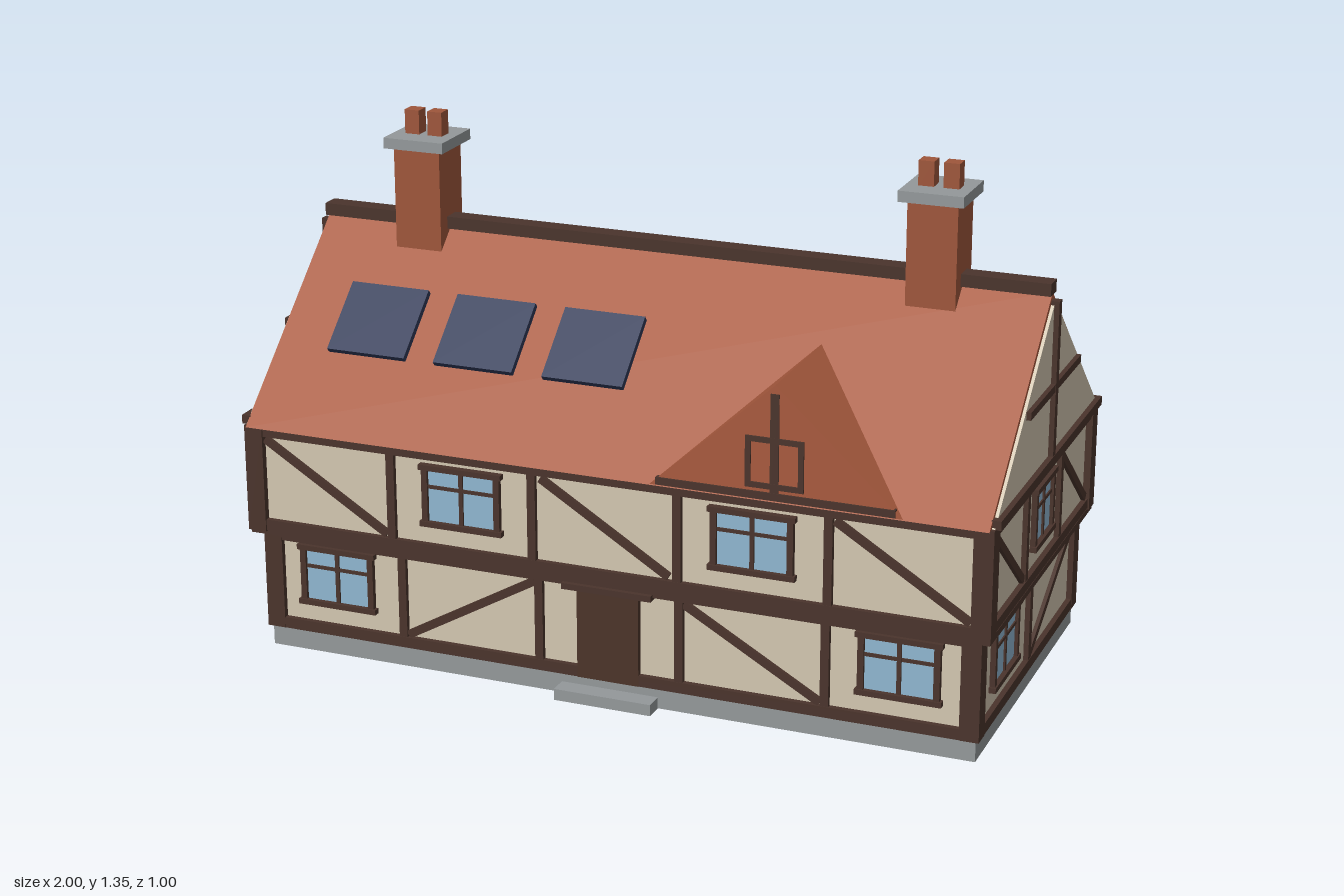
import * as THREE from 'three';

const mat = (name, color) => {
  const m = new THREE.MeshStandardMaterial({ color });
  m.name = name;
  return m;
};

export function createModel() {
  const M = {
    roof: mat('clayTile', 0xa85a3e),
    brick: mat('brick', 0x9e563b),
    timber: mat('darkTimber', 0x4a342c),
    plaster: mat('creamPlaster', 0xd2c6b0),
    stone: mat('greyStone', 0x93989a),
    glass: mat('paleGlass', 0x8fb6d0),
    panel: mat('navyPanel', 0x2e3857),
    door: mat('doorWood', 0x4b3429),
  };
  const house = new THREE.Group();
  house.name = 'timberFramedHouse';

  const add = (parent, name, geo, material) => {
    const m = new THREE.Mesh(geo, material);
    m.name = name;
    parent.add(m);
    return m;
  };
  // Box given by its limits on each axis
  const box = (parent, name, material, x0, x1, y0, y1, z0, z1) => {
    const m = add(parent, name, new THREE.BoxGeometry(x1 - x0, y1 - y0, z1 - z0), material);
    m.position.set((x0 + x1) / 2, (y0 + y1) / 2, (z0 + z1) / 2);
    return m;
  };
  // Faceted solid from triangles of corner points
  const facets = (parent, name, material, tris) => {
    const g = new THREE.BufferGeometry();
    g.setAttribute('position', new THREE.Float32BufferAttribute(tris.flat(2), 3));
    g.computeVertexNormals();
    return add(parent, name, g, material);
  };
  // Triangular prism along x
  const prism = (parent, name, material, halfZ, y0, y1, x0, x1) => {
    const s = new THREE.Shape([[-halfZ, y0], [halfZ, y0], [0, y1]].map((p) => new THREE.Vector2(...p)));
    const g = new THREE.ExtrudeGeometry(s, { depth: x1 - x0, bevelEnabled: false });
    g.rotateY(Math.PI / 2);
    g.translate(x0, 0, 0);
    return add(parent, name, g, material);
  };

  // A wall face: u runs along x (long walls) or z (end walls), d is the distance of the plaster
  const face = (name, axis, sign, d) => {
    const g = new THREE.Group();
    g.name = name;
    house.add(g);
    const bar = (part, material, u, y, w, h, out, angle = 0) => {
      const t = out + 0.01;
      const m = add(g, part, axis === 'x' ? new THREE.BoxGeometry(w, h, t) : new THREE.BoxGeometry(t, h, w), material);
      const p = sign * (d + out - t / 2);
      if (axis === 'x') { m.position.set(u, y, p); m.rotation.z = angle; }
      else { m.position.set(p, y, u); m.rotation.x = -angle; }
    };
    return {
      bar,
      post: (u, y0, y1, w = 0.022) => bar('post', M.timber, u, (y0 + y1) / 2, w, y1 - y0, 0.013),
      beam: (u0, u1, y0, y1, out = 0.014) => bar('beam', M.timber, (u0 + u1) / 2, (y0 + y1) / 2, u1 - u0, y1 - y0, out),
      brace: (u0, y0, u1, y1) => bar('brace', M.timber, (u0 + u1) / 2, (y0 + y1) / 2,
        Math.hypot(u1 - u0, y1 - y0), 0.021, 0.01, Math.atan2(y1 - y0, u1 - u0)),
      window: (u, y0, w) => {
        const h = 0.165, y = y0 + h / 2;
        bar('windowGlass', M.glass, u, y, w - 0.02, h - 0.01, 0.005);
        for (const s of [-1, 1]) {
          bar('windowJamb', M.timber, u + s * (w / 2 - 0.014), y, 0.016, h, 0.014);
          bar('windowRail', M.timber, u, y + s * (h / 2 - 0.007), w, 0.014, 0.018);
        }
        bar('mullion', M.timber, u, y, 0.011, h, 0.01);
        bar('transom', M.timber, u, y0 + h * 0.64, w - 0.02, 0.009, 0.009);
      },
    };
  };

  // Stone base, doorstep and plaster storeys
  box(house, 'foundation', M.stone, -0.95, 0.95, 0, 0.057, -0.45, 0.45);
  box(house, 'doorstep', M.stone, -0.13, 0.13, 0, 0.03, 0.44, 0.5);
  box(house, 'groundFloorWalls', M.plaster, -0.945, 0.945, 0.055, 0.325, -0.445, 0.445);
  box(house, 'upperFloorWalls', M.plaster, -0.97, 0.97, 0.335, 0.615, -0.47, 0.47);
  box(house, 'jettyFloor', M.timber, -0.985, 0.985, 0.32, 0.336, -0.48, 0.48);

  // Corner posts of both storeys
  for (const sx of [-1, 1]) for (const sz of [-1, 1]) {
    const low = add(house, 'lowerCornerPost', new THREE.BoxGeometry(0.05, 0.265, 0.05), M.timber);
    low.position.set(sx * 0.935, 0.1875, sz * 0.435);
    const up = add(house, 'upperCornerPost', new THREE.BoxGeometry(0.05, 0.285, 0.05), M.timber);
    up.position.set(sx * 0.963, 0.4725, sz * 0.463);
  }

  // Long walls, front and back
  for (const s of [1, -1]) {
    const side = s > 0 ? 'front' : 'back';
    const low = face(side + 'LowerFrame', 'x', s, 0.445);
    low.beam(-0.94, 0.94, 0.055, 0.084);
    low.beam(-0.94, 0.94, 0.3, 0.322);
    for (const m of [-1, 1]) {
      low.post(m * 0.188, 0.08, 0.31);
      low.post(m * 0.568, 0.08, 0.31);
      low.brace(m * 0.2, 0.293, m * 0.555, 0.09);
      low.window(m * 0.755, 0.132, 0.22);
    }
    if (s > 0) {
      low.bar('door', M.door, 0, 0.177, 0.165, 0.244, 0.016);
      low.bar('doorLintel', M.timber, 0, 0.3, 0.24, 0.016, 0.026);
    } else low.window(0, 0.132, 0.22);

    const up = face(side + 'UpperFrame', 'x', s, 0.47);
    up.beam(-0.96, 0.96, 0.333, 0.362);
    up.beam(-0.96, 0.96, 0.588, 0.615);
    for (const m of [-1, 1]) {
      up.post(m * 0.193, 0.35, 0.6);
      up.post(m * 0.58, 0.35, 0.6);
      up.window(m * 0.386, 0.41, 0.225);
    }
    for (const u of [-0.765, 0, 0.765]) up.brace(u - 0.17, 0.58, u + 0.17, 0.37);
  }

  // End walls and gables
  for (const s of [1, -1]) {
    const side = s > 0 ? 'left' : 'right';
    const low = face(side + 'LowerFrame', 'z', s, 0.945);
    low.beam(-0.44, 0.44, 0.055, 0.084);
    low.beam(-0.44, 0.44, 0.302, 0.322);
    low.post(0, 0.08, 0.31, 0.025);
    low.window(0.218, 0.13, 0.228);
    low.brace(-0.02, 0.09, -0.41, 0.295);

    const up = face(side + 'UpperFrame', 'z', s, 0.97);
    up.beam(-0.46, 0.46, 0.333, 0.362);
    up.beam(-0.46, 0.46, 0.585, 0.615);
    for (const m of [-1, 1]) up.post(m * 0.157, 0.35, 0.6, 0.022);
    up.window(0, 0.41, 0.188);
    up.brace(0.43, 0.578, 0.17, 0.368);
    up.brace(-0.17, 0.578, -0.43, 0.368);

    prism(house, side + 'GablePlaster', M.plaster, 0.478, 0.615, 1.034, s > 0 ? 0.97 : -0.986, s > 0 ? 0.986 : -0.97);
    const top = face(side + 'GableFrame', 'z', s, 0.986);
    top.beam(-0.475, 0.475, 0.613, 0.636);
    top.beam(-0.235, 0.235, 0.804, 0.824, 0.012);
    top.post(0, 0.63, 1.034, 0.024);
  }

  // Main roof and ridge beam
  prism(house, 'mainRoof', M.roof, 0.498, 0.613, 1.053, -0.978, 0.978);
  box(house, 'ridgeBeam', M.timber, -0.98, 0.98, 1.048, 1.08, -0.025, 0.025);

  // Chimneys with stone caps and paired pots
  for (const x of [-0.69, 0.69]) {
    const c = new THREE.Group();
    c.name = 'chimney';
    c.position.x = x;
    house.add(c);
    box(c, 'chimneyStack', M.brick, -0.064, 0.064, 0.95, 1.265, -0.064, 0.064);
    box(c, 'chimneyCap', M.stone, -0.083, 0.083, 1.262, 1.29, -0.084, 0.084);
    for (const m of [-1, 1]) box(c, 'chimneyPot', M.brick, m * 0.032 - 0.02, m * 0.032 + 0.02, 1.285, 1.353, -0.02, 0.02);
  }

  // Roof panels lying on the front slope
  for (const x of [-0.72, -0.421, -0.122]) {
    const p = add(house, 'solarPanel', new THREE.BoxGeometry(0.217, 0.016, 0.205), M.panel);
    p.position.set(x, 0.851, 0.244);
    p.rotation.x = Math.atan2(0.44, 0.498);
  }

  // Dormer: a small gable sinking back into the slope
  const dormer = new THREE.Group();
  dormer.name = 'dormer';
  house.add(dormer);
  const L = [0.128, 0.615, 0.496], R = [0.768, 0.615, 0.496], A = [0.448, 0.907, 0.496], B = [0.448, 0.907, 0.165];
  facets(dormer, 'dormerRoof', M.roof, [[L, A, B], [A, R, B]]);
  facets(dormer, 'dormerFront', M.roof, [[L, R, A]]);
  box(dormer, 'dormerSill', M.timber, 0.145, 0.75, 0.617, 0.636, 0.485, 0.5);
  box(dormer, 'dormerPost', M.timber, 0.437, 0.459, 0.625, 0.885, 0.485, 0.499);
  for (const m of [-1, 1]) {
    const x = 0.448 + m * 0.067, y = 0.71 + m * 0.058;
    box(dormer, 'dormerWindowJamb', M.timber, x - 0.007, x + 0.007, 0.645, 0.775, 0.485, 0.5);
    box(dormer, 'dormerWindowRail', M.timber, 0.374, 0.522, y - 0.007, y + 0.007, 0.485, 0.5);
  }
  return house;
}
